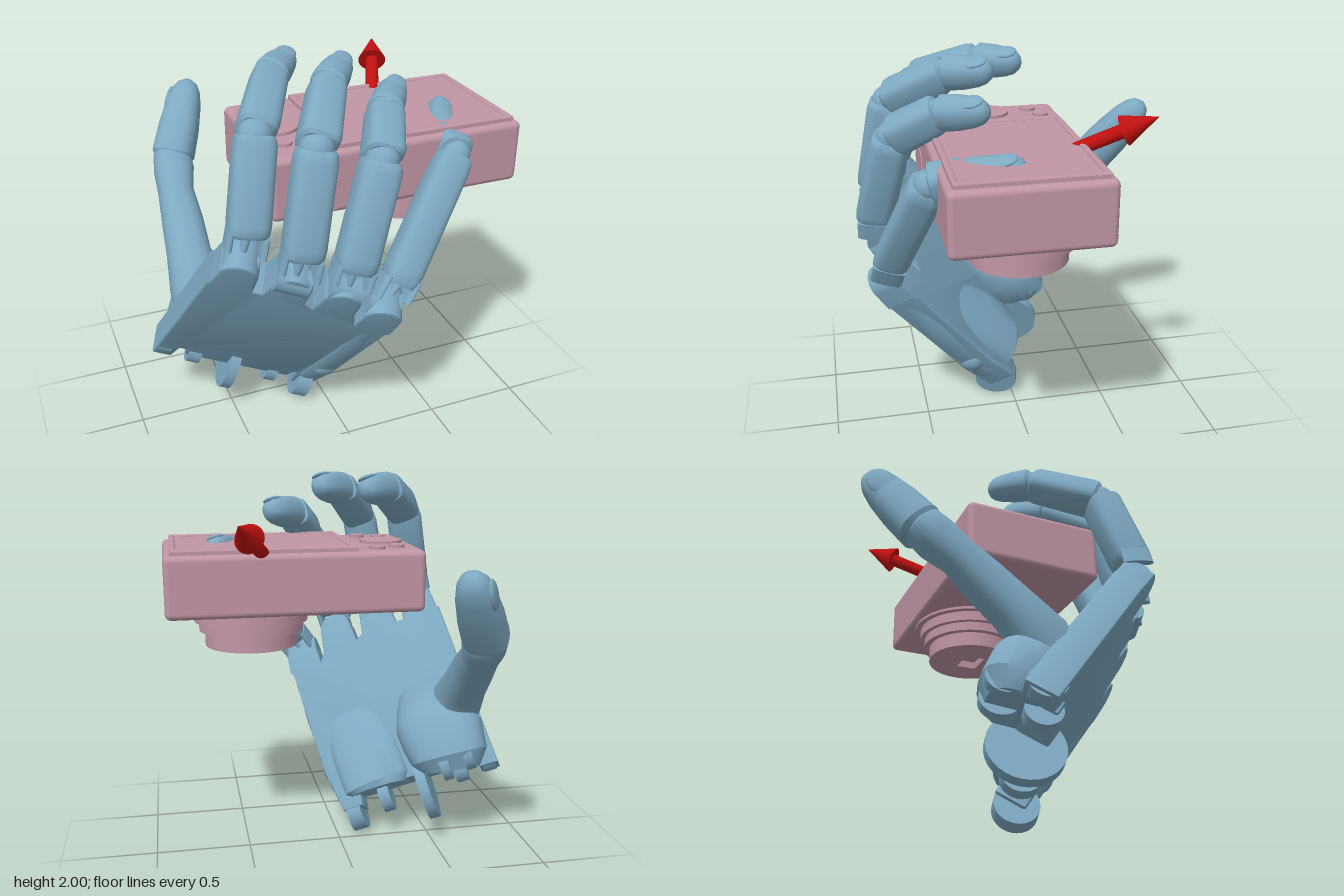
import * as THREE from 'three';
import { toCreasedNormals } from 'three/addons/utils/BufferGeometryUtils.js';
import { RoundedBoxGeometry } from 'three/addons/geometries/RoundedBoxGeometry.js';

const V = (x, y, z) => new THREE.Vector3(x, y, z);
const paint = (color) => new THREE.MeshStandardMaterial({ color });
const blue = paint(0x7ea9c2), pink = paint(0xc096a4), red = paint(0xc01010);

// Palm frame: across the knuckles, along the hand, out of its back
const across = V(0.91, -0.34, 0.23).normalize();
const along = V(0.145, 0.785, 0.602).addScaledVector(across, -0.005).normalize();
const outward = across.clone().cross(along).normalize();

function add(parent, name, geometry, material, x = 0, y = 0, z = 0) {
  const mesh = new THREE.Mesh(geometry, material);
  mesh.name = name;
  mesh.position.set(x, y, z);
  parent.add(mesh);
  return mesh;
}

// Closed skin through rounded-square rings: each ring is [centre, half width, half depth]
function loft(rings, side, square = 0.7, n = 24) {
  const pos = [], index = [];
  rings.forEach(([c, w, d], i) => {
    const a = rings[Math.max(i - 1, 0)][0], b = rings[Math.min(i + 1, rings.length - 1)][0];
    const t = b.clone().sub(a).normalize();
    const s = side.clone().addScaledVector(t, -side.dot(t)).normalize();
    const u = t.clone().cross(s);
    for (let j = 0; j < n; j++) {
      const q = (j / n) * Math.PI * 2, cx = Math.cos(q), sy = Math.sin(q);
      const p = c.clone()
        .addScaledVector(s, w * Math.sign(cx) * Math.abs(cx) ** square)
        .addScaledVector(u, d * Math.sign(sy) * Math.abs(sy) ** square);
      pos.push(p.x, p.y, p.z);
    }
  });
  const last = (rings.length - 1) * n, mid = rings.length * n;
  for (const r of [rings[0], rings[rings.length - 1]]) pos.push(r[0].x, r[0].y, r[0].z);
  for (let j = 0; j < n; j++) {
    const k = (j + 1) % n;
    for (let i = 0; i < last; i += n) index.push(i + j, i + k, i + n + k, i + j, i + n + k, i + n + j);
    index.push(mid, k, j, mid + 1, last + j, last + k);
  }
  const g = new THREE.BufferGeometry();
  g.setAttribute('position', new THREE.Float32BufferAttribute(pos, 3));
  g.setIndex(index);
  return toCreasedNormals(g, 0.6);
}

// Straight finger bone with softened ends; profile is [t, scale] pairs
const bone = [[0, 0.8], [0.04, 0.95], [0.12, 1], [0.9, 1], [0.97, 0.93], [1, 0.78]];
const tip = [[0, 0.85], [0.06, 1.02], [0.4, 1.03], [0.7, 0.93], [0.86, 0.78], [0.95, 0.55], [1, 0.2]];
function segment(parent, name, p, q, r0, r1, side, profile = bone, square = 0.58) {
  const rings = profile.map(([t, k]) => {
    const r = (r0 + (r1 - r0) * t) * k;
    return [p.clone().lerp(q, t), r, r];
  });
  add(parent, name, loft(rings, side, square), blue);
}

function fingertip(parent, p, q, r, side) {
  segment(parent, 'fingertip', p, q, r, r * 0.85, side, tip, 0.82);
  const t = q.clone().sub(p).normalize();
  const s = side.clone().addScaledVector(t, -side.dot(t)).normalize();
  const up = s.clone().cross(t);
  const nail = add(parent, 'nail', new THREE.SphereGeometry(1, 16, 10), blue);
  nail.quaternion.setFromRotationMatrix(new THREE.Matrix4().makeBasis(s, up, t.clone().negate()));
  nail.scale.set(r * 0.6, r * 0.2, r * 0.85);
  nail.position.copy(p).lerp(q, 0.68).addScaledVector(up, r * 0.7);
}

function finger(name, pts, radius) {
  const g = new THREE.Group();
  g.name = name;
  const [knuckle, start, pip, dip, end] = pts.map((p) => V(...p));
  // Hinge barrel set into the palm, centre link and two cheeks
  knuckle.addScaledVector(outward, -0.05);
  const barrel = add(g, 'knuckleBarrel', new THREE.CylinderGeometry(0.07, 0.07, 0.16, 24), blue);
  barrel.position.copy(knuckle);
  barrel.quaternion.setFromUnitVectors(V(0, 1, 0), across);
  const ahead = start.clone().lerp(pip, 0.14);
  for (const o of [-1, 0, 1]) {
    const shift = across.clone().multiplyScalar(o * radius * 0.82);
    const from = o ? start.clone().lerp(knuckle, 0.3) : knuckle;
    const rings = [from, ahead].map((c) => [c.clone().add(shift), 0.018, o ? 0.08 : 0.05]);
    add(g, o ? 'hingeCheek' : 'hingeLink', loft(rings, across), blue);
  }
  segment(g, 'lowerBone', start.clone().lerp(pip, 0.08), pip, radius, radius * 0.98, across);
  add(g, 'middleJoint', new THREE.SphereGeometry(radius * 0.8, 20, 14), blue).position.copy(pip);
  segment(g, 'middleBone', pip.clone().lerp(dip, 0.03), dip, radius * 0.96, radius * 0.86, across);
  add(g, 'endJoint', new THREE.SphereGeometry(radius * 0.72, 20, 14), blue).position.copy(dip);
  fingertip(g, dip, end, radius * 0.84, across);
  return g;
}

function makePalm() {
  const palm = new THREE.Group();
  palm.name = 'palm';
  palm.quaternion.setFromRotationMatrix(new THREE.Matrix4().makeBasis(across, along, outward));
  palm.position.set(-0.40, 0.615, 0.34);
  // Plate with rounded knuckle lobes on top and slots at the wrist
  const s = new THREE.Shape();
  s.moveTo(-0.46, -0.49);
  for (const p of [[-0.38, -0.49], [-0.36, -0.36], [-0.31, -0.36], [-0.30, -0.43], [0.26, -0.43], [0.28, -0.36],
    [0.31, -0.36], [0.32, -0.5], [0.41, -0.5], [0.46, -0.28], [0.51, 0.45]]) s.lineTo(...p);
  for (const [a, l] of [[0.425, 0.48], [0.19, 0.545], [-0.06, 0.575], [-0.315, 0.575]]) {
    s.lineTo(a + 0.095, l - 0.12);
    s.absarc(a, l, 0.08, 0, Math.PI, false);
    s.lineTo(a - 0.095, l - 0.12);
  }
  s.lineTo(-0.42, 0.46);
  const plate = new THREE.ExtrudeGeometry(s, { depth: 0.14, bevelSize: 0.012, bevelThickness: 0.015, bevelSegments: 2, curveSegments: 12 });
  add(palm, 'palmPlate', toCreasedNormals(plate, 0.5), blue, 0, 0, -0.15);
  // Thumb mound, sloping heel and the outer metacarpal: rings of [across, along, out, half width, half depth]
  const pads = {
    thumbMound: [[-0.22, -0.47, -0.2, 0.16, 0.12], [-0.23, -0.41, -0.22, 0.21, 0.175], [-0.23, -0.29, -0.23, 0.23, 0.19], [-0.21, -0.19, -0.22, 0.22, 0.17],
      [-0.2, -0.07, -0.18, 0.18, 0.12], [-0.17, 0.03, -0.14, 0.12, 0.06]],
    heel: [[0.2, -0.45, -0.13, 0.16, 0.09], [0.2, -0.42, -0.13, 0.19, 0.11], [0.22, -0.2, -0.12, 0.2, 0.1], [0.26, 0.05, -0.1, 0.17, 0.06]],
    outerMetacarpal: [[0.35, -0.45, -0.06, 0.07, 0.06], [0.38, -0.35, -0.06, 0.09, 0.08], [0.42, 0.1, -0.07, 0.09, 0.085], [0.42, 0.45, -0.08, 0.08, 0.08]],
  };
  for (const [name, rings] of Object.entries(pads))
    add(palm, name, loft(rings.map(([a, l, n, w, d]) => [V(a, l, n), w, d]), V(1, 0, 0), 0.8), blue);
  add(palm, 'wristKnob', new THREE.SphereGeometry(0.09, 20, 14), blue, 0.405, -0.25, -0.06);
  // Wrist hinge tabs and the large centre disc
  for (const [a, l, n, r, w] of [[-0.42, -0.43, -0.08, 0.09, 0.07], [-0.26, -0.44, -0.06, 0.09, 0.07], [-0.05, -0.49, -0.08, 0.19, 0.055],
    [0.18, -0.47, -0.07, 0.1, 0.06], [0.37, -0.5, -0.045, 0.115, 0.08], [-0.33, -0.42, -0.27, 0.1, 0.05], [-0.2, -0.44, -0.27, 0.1, 0.05]]) {
    add(palm, 'wristTab', new THREE.CylinderGeometry(r, r, w, 32), blue, a, l, n).rotation.z = Math.PI / 2;
  }
  return palm;
}

function makeThumb() {
  const g = new THREE.Group();
  g.name = 'thumb';
  const rings = [[-0.62, 0.62, 0.07, 0.15], [-0.65, 0.77, -0.02, 0.135], [-0.645, 0.89, -0.15, 0.115], [-0.635, 1.01, -0.29, 0.108],
    [-0.63, 1.12, -0.42, 0.094], [-0.61, 1.2, -0.52, 0.107], [-0.6, 1.26, -0.59, 0.1], [-0.59, 1.3, -0.62, 0.07]];
  add(g, 'thumbBone', loft(rings.map(([x, y, z, r]) => [V(x, y, z), r, r]), V(1, 0, 0), 0.88), blue);
  fingertip(g, V(-0.6, 1.24, -0.58), V(-0.425, 1.59, -0.82), 0.112, V(-0.23, 0.65, 0.6));
  return g;
}

function rect(path, x0, x1, y0, y1) {
  path.moveTo(x0, y0).lineTo(x1, y0).lineTo(x1, y1).lineTo(x0, y1).closePath();
  return path;
}

function makeCamera() {
  const g = new THREE.Group();
  g.name = 'compactCamera';
  add(g, 'body', new RoundedBoxGeometry(1.285, 0.31, 0.74, 3, 0.03), pink, 0.252, 1.475, 0.1);
  // Raised screen frame around a slightly sunken screen
  const frame = rect(new THREE.Shape(), -0.445, 0.445, -0.33, 0.33);
  frame.holes.push(rect(new THREE.Path(), -0.435, 0.435, -0.32, 0.32));
  const rim = new THREE.ExtrudeGeometry(frame, { depth: 0.02, bevelSize: 0.01, bevelThickness: 0.008, bevelSegments: 2 });
  add(g, 'screenFrame', rim, pink, 0.405, 1.627, 0.1).rotation.x = -Math.PI / 2;
  add(g, 'screen', new THREE.BoxGeometry(0.86, 0.035, 0.63), pink, 0.405, 1.628, 0.1);
  // Buttons on the screen side and two round details on the front
  for (const [x, z, r] of [[-0.27, -0.12, 0.04], [-0.16, -0.165, 0.04], [-0.24, 0.1, 0.11], [-0.27, 0.3, 0.04], [-0.16, 0.34, 0.04]])
    add(g, 'button', new THREE.CylinderGeometry(r, r, 0.03, 32), pink, x, 1.63, z);
  for (const [x, r] of [[0.23, 0.055], [-0.11, 0.085]])
    add(g, 'frontWindow', new THREE.CylinderGeometry(r, r, 0.012, 32), pink, x, 1.42, 0.468).rotation.x = Math.PI / 2;
  // Stepped lens barrel ending in a square opening
  for (const [r, y0, y1] of [[0.325, 1.305, 1.33], [0.295, 1.25, 1.32], [0.27, 1.2, 1.26], [0.24, 1.16, 1.21]])
    add(g, 'lensRing', new THREE.CylinderGeometry(r, r, y1 - y0, 48), pink, 0.455, (y0 + y1) / 2, 0.08);
  const end = new THREE.Shape().absarc(0, 0, 0.24, 0, Math.PI * 2);
  end.holes.push(rect(new THREE.Path(), -0.075, 0.075, -0.055, 0.055));
  const face = new THREE.ExtrudeGeometry(end, { depth: 0.045, bevelEnabled: false, curveSegments: 24 });
  add(g, 'lensFace', toCreasedNormals(face, 0.5), pink, 0.455, 1.165, 0.08).rotation.x = Math.PI / 2;
  add(g, 'lensGlass', new THREE.SphereGeometry(0.05, 20, 12), pink, 0.455, 1.165, 0.08).scale.y = 0.5;
  return g;
}

function makeArrow() {
  const g = new THREE.Group();
  g.name = 'arrow';
  const from = V(0.395, 1.6, -0.17), to = V(0.558, 1.795, -0.545);
  const len = from.distanceTo(to);
  add(g, 'arrowShaft', new THREE.CylinderGeometry(0.034, 0.034, len * 0.65, 20), red, 0, len * 0.325, 0);
  add(g, 'arrowHead', new THREE.ConeGeometry(0.073, len * 0.38, 24), red, 0, len * 0.81, 0);
  g.position.copy(from);
  g.quaternion.setFromUnitVectors(V(0, 1, 0), to.sub(from).normalize());
  return g;
}

export function createModel() {
  const model = new THREE.Group();
  model.name = 'handHoldingCamera';
  model.add(makePalm(), makeThumb(), makeCamera(), makeArrow());
  // Knuckle, start of bone, middle joint, end joint, tip
  model.add(
    finger('indexFinger', [[-0.6, 1.19, 0.59], [-0.55, 1.31, 0.59], [-0.455, 1.77, 0.46], [-0.275, 1.905, 0.14], [-0.12, 1.915, -0.05]], 0.098),
    finger('middleFinger', [[-0.38, 1.1, 0.68], [-0.34, 1.21, 0.7], [-0.23, 1.73, 0.61], [-0.07, 1.895, 0.33], [0.09, 1.925, 0.13]], 0.098),
    finger('ringFinger', [[-0.14, 1.02, 0.72], [-0.11, 1.11, 0.73], [0.075, 1.63, 0.62], [0.185, 1.765, 0.4], [0.34, 1.8, 0.19]], 0.098),
    finger('littleFinger', [[0.06, 0.88, 0.7], [0.12, 0.95, 0.69], [0.515, 1.535, 0.5], [0.54, 1.57, 0.34], [0.635, 1.63, 0.08]], 0.09),
  );
  return model;
}
